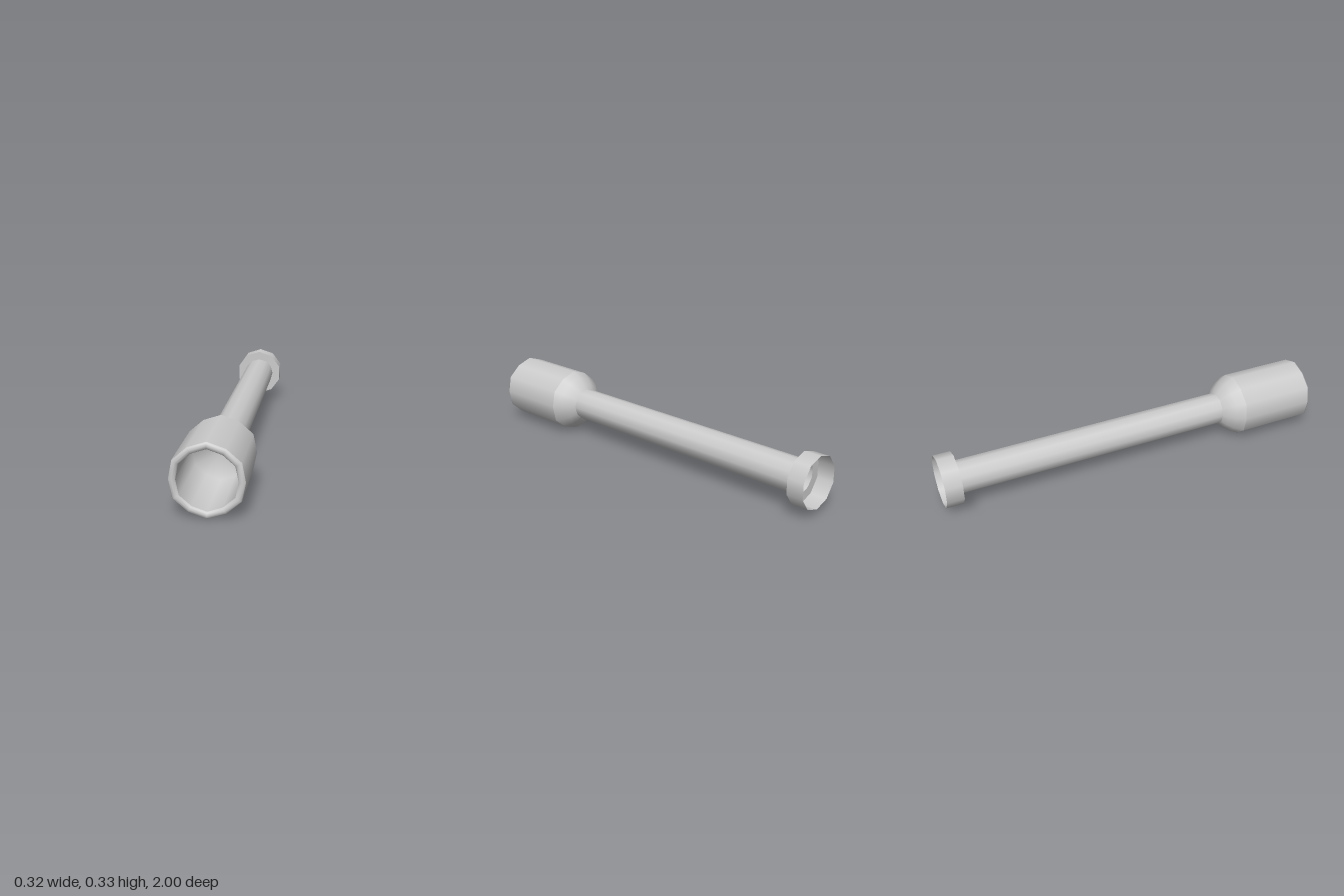
import * as THREE from 'three';

const CENTRE_Y = 0.1665;
const material = new THREE.MeshStandardMaterial({ color: 0xcccccc, side: THREE.DoubleSide });

// Turned part along z from [radius, z] pairs; every other facet corner may be pulled in.
function turned(name, profile, sides, oddScale = 1) {
  const points = profile.map(([r, z]) => new THREE.Vector2(r, z));
  const geometry = new THREE.LatheGeometry(points, sides);
  const position = geometry.attributes.position;
  for (let i = 0; i < position.count; i++) {
    const spoke = Math.floor(i / points.length);
    if (spoke % 2 === 1) {
      position.setX(i, position.getX(i) * oddScale);
      position.setZ(i, position.getZ(i) * oddScale);
    }
  }
  geometry.rotateX(Math.PI / 2);
  const mesh = new THREE.Mesh(geometry, material);
  mesh.name = name;
  mesh.position.y = CENTRE_Y;
  return mesh;
}

export function createModel() {
  const group = new THREE.Group();
  group.name = 'socketTube';

  // Wide socket: outer wall, rounded lip and blind bore
  group.add(turned('socketWall', [[0.1665, 0.605], [0.1665, 0.99]], 12, 0.965));
  group.add(turned('socketLip',
    [[0.1665, 0.99], [0.162, 0.997], [0.151, 1], [0.14, 0.997], [0.135, 0.99]], 12, 0.965));
  group.add(turned('socketBore', [[0.135, 0.99], [0.135, 0.62], [0, 0.62]], 12, 0.965));

  // Shoulder narrowing down to the tube
  group.add(turned('shoulder',
    [[0.083, 0.505], [0.112, 0.528], [0.14, 0.56], [0.1665, 0.605]], 12, 0.965));

  // Long hollow tube
  group.add(turned('tube', [[0.083, -0.915], [0.083, 0.52]], 12));

  // Thin cup at the rear, open to the back
  group.add(turned('rearCupFloor', [[0.13, -0.915], [0.082, -0.915]], 10));
  group.add(turned('rearCupWall', [[0.13, -1], [0.13, -0.915]], 10));

  return group;
}
